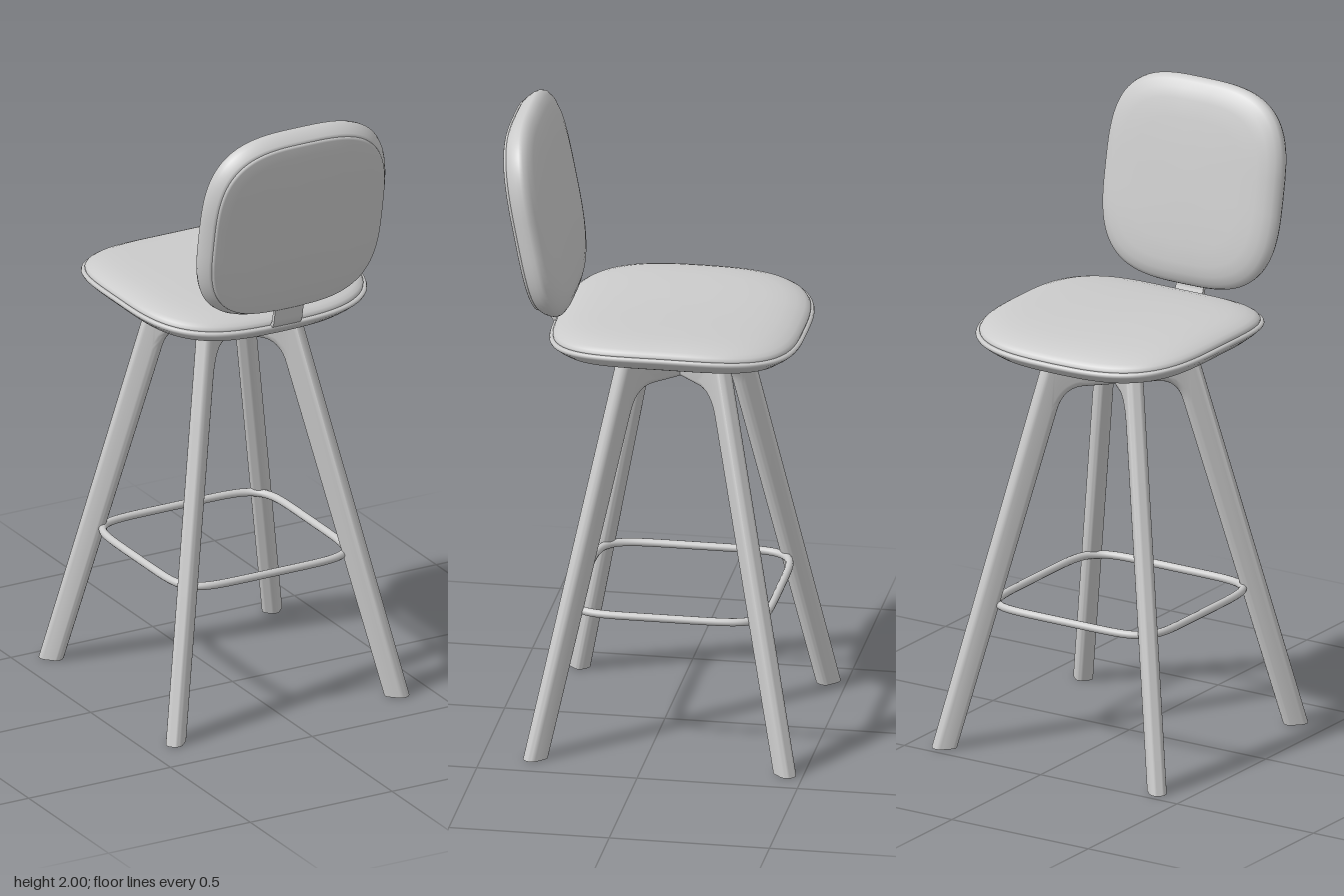
import * as THREE from 'three';
import { toCreasedNormals } from 'three/addons/utils/BufferGeometryUtils.js';

const CENTRE_Z = -0.053; // middle of the leg frame and seat
const material = new THREE.MeshStandardMaterial({ color: 0xcccccc });

function add(parent, name, geometry) {
  const mesh = new THREE.Mesh(geometry, material);
  mesh.name = name;
  parent.add(mesh);
  return mesh;
}

// Point on a rounded-square outline
function outline(angle, a, b, n) {
  const c = Math.cos(angle), s = Math.sin(angle);
  return [a * Math.sign(c) * Math.abs(c) ** (2 / n), b * Math.sign(s) * Math.abs(s) ** (2 / n)];
}

// Stack of rounded-square rings; profile rows are [scale, height], listed bottom to top
function pad(a, b, n, profile, bend = () => 0) {
  const N = 96, positions = [], index = [];
  profile.forEach(([f, y], i) => {
    for (let j = 0; j < N; j++) {
      const [x, z] = outline((j / N) * Math.PI * 2, a * f, b * f, n);
      positions.push(x, y + bend(x, z), z);
      if (i === profile.length - 1) continue;
      const p = i * N + j, q = i * N + ((j + 1) % N);
      index.push(p, p + N, q, q, p + N, q + N);
    }
  });
  const geometry = new THREE.BufferGeometry();
  geometry.setAttribute('position', new THREE.Float32BufferAttribute(positions, 3));
  geometry.setIndex(index);
  geometry.computeVertexNormals();
  return geometry;
}

// One pair of opposite legs joined by an apron, with rounded edges and flat feet
function legPair() {
  const r = 0.024;
  const s = new THREE.Shape();
  s.moveTo(0.226, 1.285);
  s.lineTo(0.59, -r);
  s.lineTo(0.513, -r);
  s.lineTo(0.2, 1.07);
  s.quadraticCurveTo(0.18, 1.145, 0.115, 1.145);
  s.lineTo(-0.115, 1.145);
  s.quadraticCurveTo(-0.18, 1.145, -0.2, 1.07);
  s.lineTo(-0.513, -r);
  s.lineTo(-0.59, -r);
  s.lineTo(-0.226, 1.285);
  s.closePath();
  const geometry = new THREE.ExtrudeGeometry(s, {
    depth: 0.006, bevelThickness: r, bevelSize: r, bevelOffset: -r, bevelSegments: 6, curveSegments: 10,
  });
  geometry.translate(0, 0, -0.003);
  const p = geometry.attributes.position;
  for (let i = 0; i < p.count; i++) p.setY(i, Math.max(p.getY(i), 0));
  return toCreasedNormals(geometry, 0.7);
}

export function createModel() {
  const model = new THREE.Group();
  model.name = 'barStool';

  // Crossed leg frames
  for (const side of [1, -1]) {
    const legs = add(model, side > 0 ? 'legFrameA' : 'legFrameB', legPair());
    legs.rotation.y = side * Math.PI / 4;
    legs.position.z = CENTRE_Z;
  }

  // Footrest ring
  const ringPoints = [];
  for (let i = 0; i < 64; i++) {
    const [x, z] = outline((i / 64) * Math.PI * 2, 0.305, 0.305, 6);
    ringPoints.push(new THREE.Vector3(x, 0.455, z + CENTRE_Z));
  }
  const ringPath = new THREE.CatmullRomCurve3(ringPoints, true);
  add(model, 'footRing', new THREE.TubeGeometry(ringPath, 160, 0.0125, 12, true));

  // Seat: a shell with bevelled underside and a cushion, slightly saddle shaped
  const seat = new THREE.Group();
  seat.name = 'seat';
  seat.position.z = CENTRE_Z;
  model.add(seat);
  const saddle = (x, z) => 0.013 * (x * x - z * z) / 0.152;
  add(seat, 'seatShell', pad(0.392, 0.392, 3.3, [
    [0, 1.27], [0.4, 1.27], [0.7, 1.272], [0.83, 1.276], [0.9, 1.286], [0.96, 1.304],
    [0.993, 1.316], [1, 1.322], [0.995, 1.328], [0.975, 1.331], [0.96, 1.326],
  ], saddle));
  add(seat, 'seatCushion', pad(0.392, 0.392, 3.3, [
    [0.955, 1.324], [0.972, 1.329], [0.973, 1.335], [0.96, 1.343], [0.93, 1.351], [0.87, 1.36],
    [0.78, 1.367], [0.65, 1.371], [0.45, 1.373], [0.2, 1.373], [0, 1.373],
  ], saddle));

  // Backrest: a thick cushion facing the seat and a thin panel behind
  const back = new THREE.Group();
  back.name = 'backrest';
  back.position.set(0, 1.68, 0.37);
  back.rotation.x = Math.PI / 2 + 0.19;
  model.add(back);
  add(back, 'backCushion', pad(0.32, 0.324, 3.2, [
    [0, -0.056], [0.3, -0.056], [0.6, -0.054], [0.78, -0.05], [0.88, -0.043], [0.95, -0.032],
    [0.99, -0.019], [1, -0.007], [0.99, 0.008], [0.97, 0.022], [0.945, 0.034], [0.925, 0.04], [0.9, 0.038],
  ]));
  add(back, 'backPanel', pad(0.32, 0.324, 3.2, [
    [0.91, 0.034], [0.926, 0.042], [0.922, 0.047], [0.905, 0.05], [0.8, 0.055],
    [0.6, 0.06], [0.3, 0.062], [0, 0.062],
  ]));

  // Bent strip joining the seat to the backrest
  const strip = new THREE.Shape();
  strip.moveTo(0.2, 1.295);
  strip.lineTo(0.3, 1.297);
  strip.quadraticCurveTo(0.348, 1.302, 0.352, 1.35);
  strip.lineTo(0.372, 1.44);
  strip.lineTo(0.36, 1.44);
  strip.lineTo(0.34, 1.352);
  strip.quadraticCurveTo(0.337, 1.314, 0.3, 1.309);
  strip.lineTo(0.2, 1.307);
  strip.closePath();
  const bracket = new THREE.ExtrudeGeometry(strip, { depth: 0.1, bevelEnabled: false, curveSegments: 10 });
  bracket.translate(0, 0, -0.05);
  bracket.rotateY(-Math.PI / 2);
  add(model, 'backBracket', toCreasedNormals(bracket, 0.6));

  return model;
}
